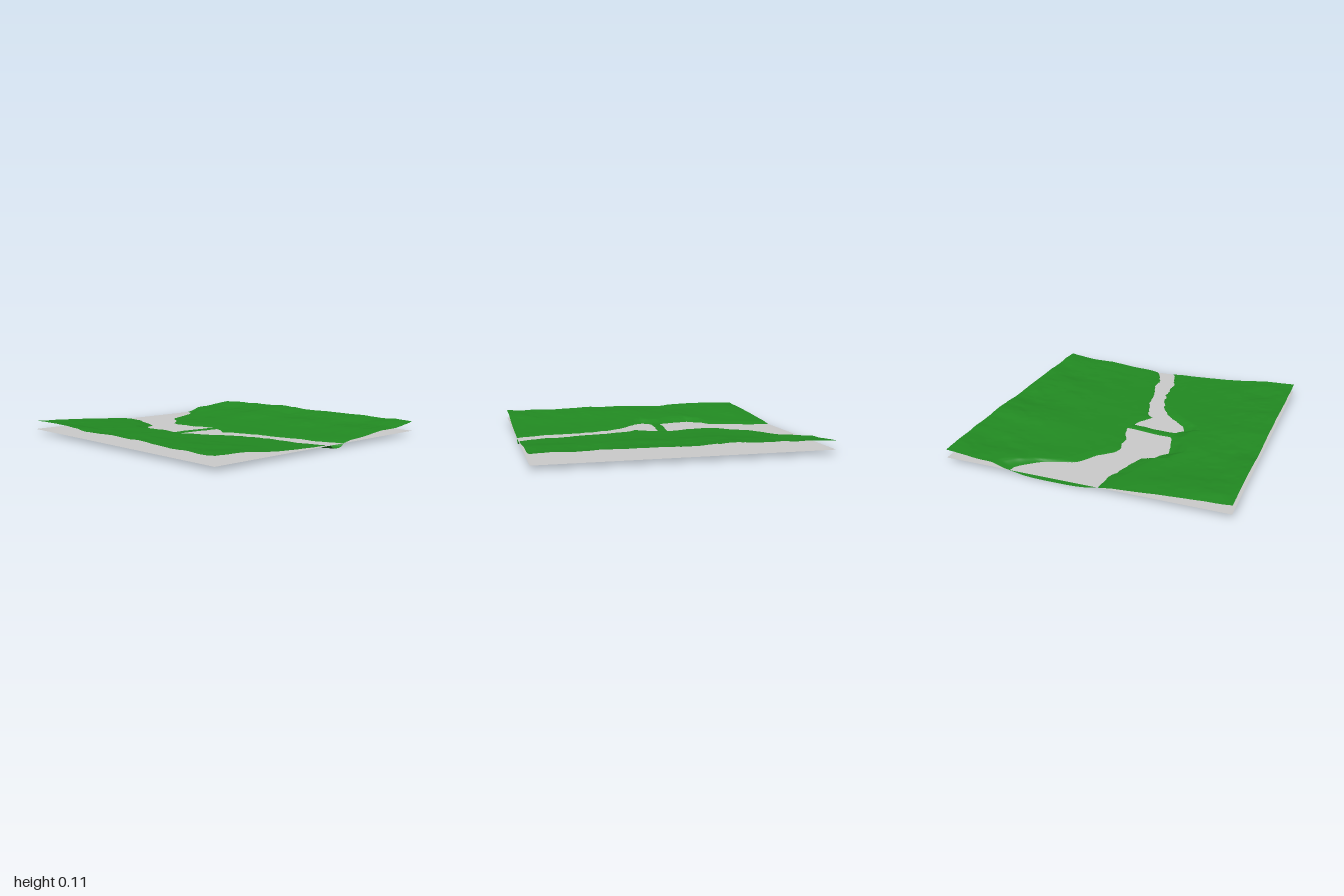
import * as THREE from 'three';

const WATER = 0.026;

// [z, x] along each bank of the river
const leftBank = [[-1, -.125], [-.85, -.13], [-.78, -.165], [-.65, -.2], [-.53, -.245], [-.5, -.33], [-.45, -.35],
  [-.4, -.39], [-.3, -.37], [-.2, -.345], [-.16, -.33], [-.08, -.34], [-.03, -.39], [.03, -.36], [.1, -.29],
  [.15, -.235], [.2, -.18], [.3, -.12], [.45, -.07], [.6, -.04], [.8, -.035], [.9, 0], [1, .04]];
const rightBank = [[-1, .515], [-.95, .5], [-.88, .43], [-.82, .36], [-.78, .24], [-.75, .16], [-.7, .11], [-.6, .05],
  [-.53, -.03], [-.45, -.06], [-.38, -.03], [-.3, -.04], [-.2, 0], [-.13, .02], [-.05, -.01], [0, -.02], [.05, -.05],
  [.11, -.09], [.14, -.05], [.2, -.03], [.35, .02], [.5, .045], [.6, .06], [.7, .095], [.8, .09], [.9, .13], [1, .17]];

// [x, y] mean section across the valley
const valley = [[-1, .092], [-.8, .082], [-.6, .066], [-.45, .053], [-.3, .042], [-.15, .034], [0, .032], [.2, .036],
  [.4, .046], [.6, .066], [.8, .075], [1, .1]];

// [x, z] centre line of the dam
const damLine = [[-.4, -.12], [-.2, -.117], [-.1, -.103], [.02, -.09]];

function lookup(table, t) {
  if (t <= table[0][0]) return table[0][1];
  for (let i = 1; i < table.length; i++) {
    const [a, va] = table[i - 1], [b, vb] = table[i];
    if (t <= b) return va + (vb - va) * (t - a) / (b - a);
  }
  return table[table.length - 1][1];
}

// smooth value noise in -1..1
function hash(i, j) {
  const s = Math.sin(i * 127.1 + j * 311.7 + 17.3) * 43758.5453;
  return (s - Math.floor(s)) * 2 - 1;
}
function noise(x, z) {
  const i = Math.floor(x), j = Math.floor(z);
  const u = THREE.MathUtils.smoothstep(x - i, 0, 1), v = THREE.MathUtils.smoothstep(z - j, 0, 1);
  const { lerp } = THREE.MathUtils;
  return lerp(lerp(hash(i, j), hash(i + 1, j), u), lerp(hash(i, j + 1), hash(i + 1, j + 1), u), v);
}
function hills(x, z) {
  let sum = 0;
  for (let k = 0, f = 2.5, a = 1; k < 4; k++, f *= 2.1, a *= 0.42) sum += a * noise(x * f + 9 * k, z * f * 1.3);
  return sum;
}

function height(x, z) {
  const wobble = 0.008 * noise(x * 20, z * 22);
  const l = lookup(leftBank, z) + wobble, r = lookup(rightBank, z) + wobble;

  if (x > l && x < r) {
    // river bed, interrupted by the dam
    const u = (2 * x - l - r) / (r - l);
    const fromDam = Math.abs(z - lookup(damLine, x)) - 0.036 + wobble * 0.5;
    if (fromDam < 0) return WATER + Math.min(0.004, -fromDam * 0.3);
    return WATER * (1 - (1 - Math.abs(u) ** 3) * Math.min(1, fromDam / 0.07));
  }
  // land rising from the bank to the valley sides
  const d = Math.max(l - x, x - r);
  const side = THREE.MathUtils.smoothstep(Math.abs(x), 0.15, 0.85);
  const land = lookup(valley, x) + hills(x, z) * (0.002 + 0.011 * side) + 0.008 * side * (0.5 - z * z);
  const rise = Math.max(0.003, land - WATER);
  return WATER + Math.min(rise, 0.002 + d * 0.25) * Math.min(1, 0.3 + d * 8);
}

export function createModel() {
  const model = new THREE.Group();

  // ground: a square sheet shaped by the height rule
  const groundGeometry = new THREE.PlaneGeometry(2, 2, 220, 220).rotateX(-Math.PI / 2);
  const p = groundGeometry.attributes.position;
  for (let i = 0; i < p.count; i++) p.setY(i, Math.max(0, height(p.getX(i), p.getZ(i))));
  groundGeometry.computeVertexNormals();
  const ground = new THREE.Mesh(groundGeometry,
    new THREE.MeshStandardMaterial({ color: 0x228b22, side: THREE.DoubleSide }));
  ground.name = 'ground';

  // water: a flat sheet that shows where the river bed dips below it
  const water = new THREE.Mesh(new THREE.PlaneGeometry(2, 2).rotateX(-Math.PI / 2),
    new THREE.MeshStandardMaterial({ color: 0xcccccc, side: THREE.DoubleSide }));
  water.name = 'water';
  water.position.y = WATER;

  model.add(ground, water);
  return model;
}
